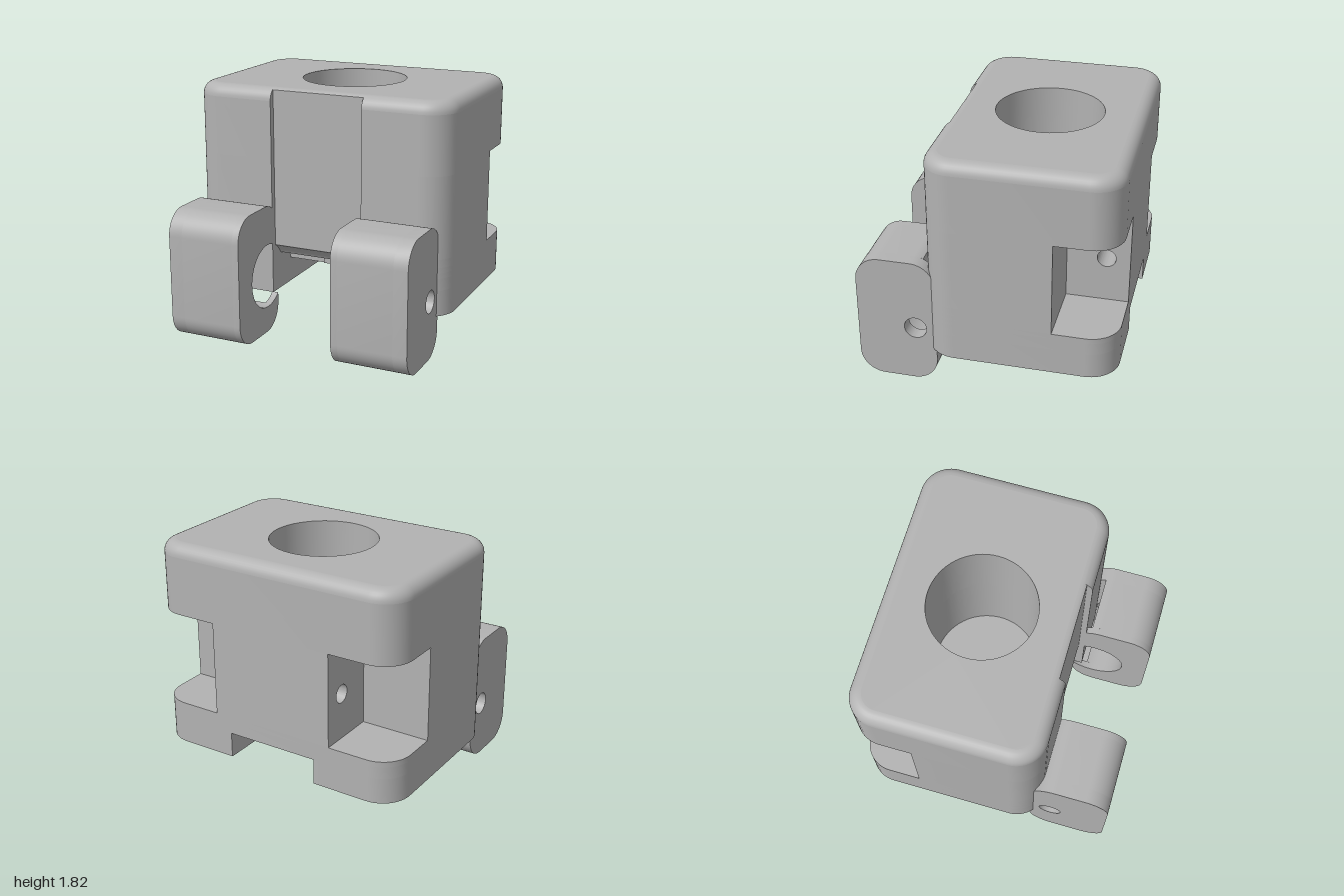
import * as THREE from 'three';
import { toCreasedNormals } from 'three/addons/utils/BufferGeometryUtils.js';

const PI = Math.PI;
const BACK = -0.945, FRONT = 0.435, R = 0.22, FILLET = 0.09;
const NOTCH = 0.355, NOTCH_Z = 0.39;      // half width and depth of the front notch
const PIN = [0.515, 0.435], PIN_R = 0.24; // pivot axis (z, y) and clearance radius
const BORE_Z = -0.255, BORE_R = 0.39, BORE_FLOOR = 0.7;

const plasticGrey = new THREE.MeshStandardMaterial({ color: 0xb2b2b2, side: THREE.DoubleSide });

function arc(cx, cy, r, a0, a1, n = 12) {
  return Array.from({ length: n + 1 }, (_, i) => {
    const a = a0 + (a1 - a0) * i / n;
    return [cx + r * Math.cos(a), cy + r * Math.sin(a)];
  });
}

export function createModel() {
  const model = new THREE.Group();
  model.name = 'hingeBlock';

  function add(name, geometry) {
    const mesh = new THREE.Mesh(toCreasedNormals(geometry, 0.6), plasticGrey);
    mesh.name = name;
    model.add(mesh);
  }
  function makeShape(points, hole) {
    const shape = new THREE.Shape(points.map(([a, b]) => new THREE.Vector2(a, -b)));
    if (hole) shape.holes.push(new THREE.Path().absarc(hole[0], -hole[1], hole[2], 0, 2 * PI, true));
    return shape;
  }
  const extrude = (shape, depth) =>
    new THREE.ExtrudeGeometry(shape, { depth, bevelEnabled: false, curveSegments: 32 });

  // Plan outline (x, z) pulled up from y0 to y1
  function slab(name, points, y0, y1, hole) {
    add(name, extrude(makeShape(points, hole), y1 - y0).rotateX(-PI / 2).translate(0, y0, 0));
  }
  // Side outline (z, y) pulled across from x0 to x1
  function sideSlab(name, points, x0, x1, hole) {
    const shape = makeShape(points.map(([z, y]) => [-z, -y]), hole && [-hole[0], -hole[1], hole[2]]);
    add(name, extrude(shape, x1 - x0).rotateY(PI / 2).translate(x0, 0, 0));
  }

  // Plan corners of the body, optionally inset
  const corner = (sx, sz, a, inset = 0) =>
    arc(sx * (1 - R), sz > 0 ? FRONT - R : BACK + R, R - inset, a, a + PI / 2);
  const backEdge = (i) => [...corner(-1, -1, PI, i), ...corner(1, -1, 1.5 * PI, i)];
  const frontEdge = (depth, i = 0) => {
    const f = FRONT - i, d = Math.min(f, depth);
    return [...corner(1, 1, 0, i), [NOTCH, f], [NOTCH, d], [-NOTCH, d], [-NOTCH, f], ...corner(-1, 1, PI / 2, i)];
  };
  const plan = (depth, i) => [...backEdge(i), ...frontEdge(depth, i)];
  // Plan with the two rear corner pockets removed
  const pocketPlan = (depth) => [[-0.48, -0.7], [0.48, -0.7], [0.48, -0.49], [1, -0.49],
    ...frontEdge(depth), [-1, -0.49], [-0.48, -0.49]];
  const bore = [0, BORE_Z, BORE_R];

  // Legs on both sides of the bottom channel
  for (const s of [1, -1]) {
    const leg = [[NOTCH, BACK], ...corner(1, -1, 1.5 * PI), ...corner(1, 1, 0), [NOTCH, FRONT]];
    slab(s > 0 ? 'leftLeg' : 'rightLeg', leg.map(([x, z]) => [s * x, z]), 0.28, 0.47);
  }

  // Body, bottom to top
  slab('channelCeiling', plan(0.155), 0.47, 0.56);
  slab('lowerBody', plan(0.31), 0.56, 0.6);
  slab('pocketBodyBase', pocketPlan(0.31), 0.6, 0.64);
  slab('pocketBodyMiddle', pocketPlan(NOTCH_Z), 0.64, BORE_FLOOR);
  slab('pocketBody', pocketPlan(NOTCH_Z), BORE_FLOOR, 1.3, bore);
  slab('upperBody', plan(NOTCH_Z), 1.3, 1.82 - FILLET, bore);
  sideSlab('rearBridge', [[BACK, 0.6], [-0.7, 0.6], [-0.7, 1.3], [BACK, 1.3]], -0.48, 0.48, [-0.775, 0.94, 0.067]);

  // Curved clearance under the front face
  const a0 = Math.atan2(0.56 - PIN[1], 0.31 - PIN[0]), a1 = Math.atan2(0.64 - PIN[1], NOTCH_Z - PIN[0]);
  sideSlab('pivotClearance', [...arc(...PIN, PIN_R, a0, a1), [0.31, 0.64]], -NOTCH, NOTCH);

  // Small key on the step behind the pivot
  add('stepKey', new THREE.BoxGeometry(0.115, 0.09, 0.02).translate(-0.003, 0.515, 0.16));

  // Rounded top rim, lofted through inset outlines
  const steps = 8, verts = [], index = [];
  const count = plan(NOTCH_Z, 0).length;
  for (let k = 0; k <= steps; k++) {
    const a = k / steps * PI / 2;
    const y = 1.82 - FILLET + FILLET * Math.sin(a);
    for (const [x, z] of plan(NOTCH_Z, FILLET * (1 - Math.cos(a)))) verts.push(x, y, z);
  }
  for (let k = 0; k < steps; k++) {
    for (let i = 0; i < count; i++) {
      const p = k * count + i, q = k * count + (i + 1) % count;
      index.push(p, p + count, q, q, p + count, q + count);
    }
  }
  const rim = new THREE.BufferGeometry();
  rim.setAttribute('position', new THREE.Float32BufferAttribute(verts, 3));
  rim.setIndex(index);
  add('topRim', rim);
  add('topFace', new THREE.ShapeGeometry(makeShape(plan(NOTCH_Z, FILLET), bore), 32)
    .rotateX(-PI / 2).translate(0, 1.82, 0));

  // Blind bore
  const boreProfile = [[0, BORE_FLOOR], [BORE_R, BORE_FLOOR], [BORE_R, 1.82]].map((p) => new THREE.Vector2(...p));
  add('boreLining', new THREE.LatheGeometry(boreProfile, 64).translate(0, 0, BORE_Z));

  // Arms: side outlines (z, y)
  const r = 0.18, z0 = 0.36, z1 = 0.945, top = 0.97, slotZ = 0.47, slotY = 0.12;
  const frontArcs = [...arc(z1 - r, r, r, 1.5 * PI, 2 * PI), ...arc(z1 - r, top - r, r, 0, PI / 2)];
  const lowRear = (from) => arc(z0 + r, r, r, from, 1.5 * PI);
  const topRear = (to) => arc(z0 + r, top - r, r, PI / 2, to);
  // Pivot bore wall, opening to the rear at a given z
  const pivot = (z) => {
    const a = Math.acos((z - PIN[0]) / PIN_R);
    return arc(...PIN, PIN_R, a, -a, 40);
  };
  const slotStart = PI + Math.asin((r - slotY) / r);
  const slitEnd = Math.acos((slotZ - z0 - r) / r);

  for (const s of [1, -1]) {
    const side = s > 0 ? 'left' : 'right';
    const span = (a, b) => (s > 0 ? [a, b] : [-b, -a]);
    // the left slot runs out through the top, the right one is closed above
    const slotTop = s > 0 ? topRear(slitEnd) : [...topRear(PI), [z0, 0.72], [slotZ, 0.72]];
    sideSlab(side + 'ArmInnerLip', [...lowRear(PI), ...frontArcs, ...topRear(PI), ...pivot(z0)], ...span(0.355, 0.405));
    sideSlab(side + 'ArmSlotted', [...lowRear(slotStart), ...frontArcs, ...slotTop, ...pivot(slotZ), [slotZ, slotY]],
      ...span(0.405, 0.815));
    sideSlab(side + 'ArmOuterWall', [...lowRear(PI), ...frontArcs, ...topRear(PI)], ...span(0.815, 0.92), [...PIN, 0.083]);
  }

  return model;
}
